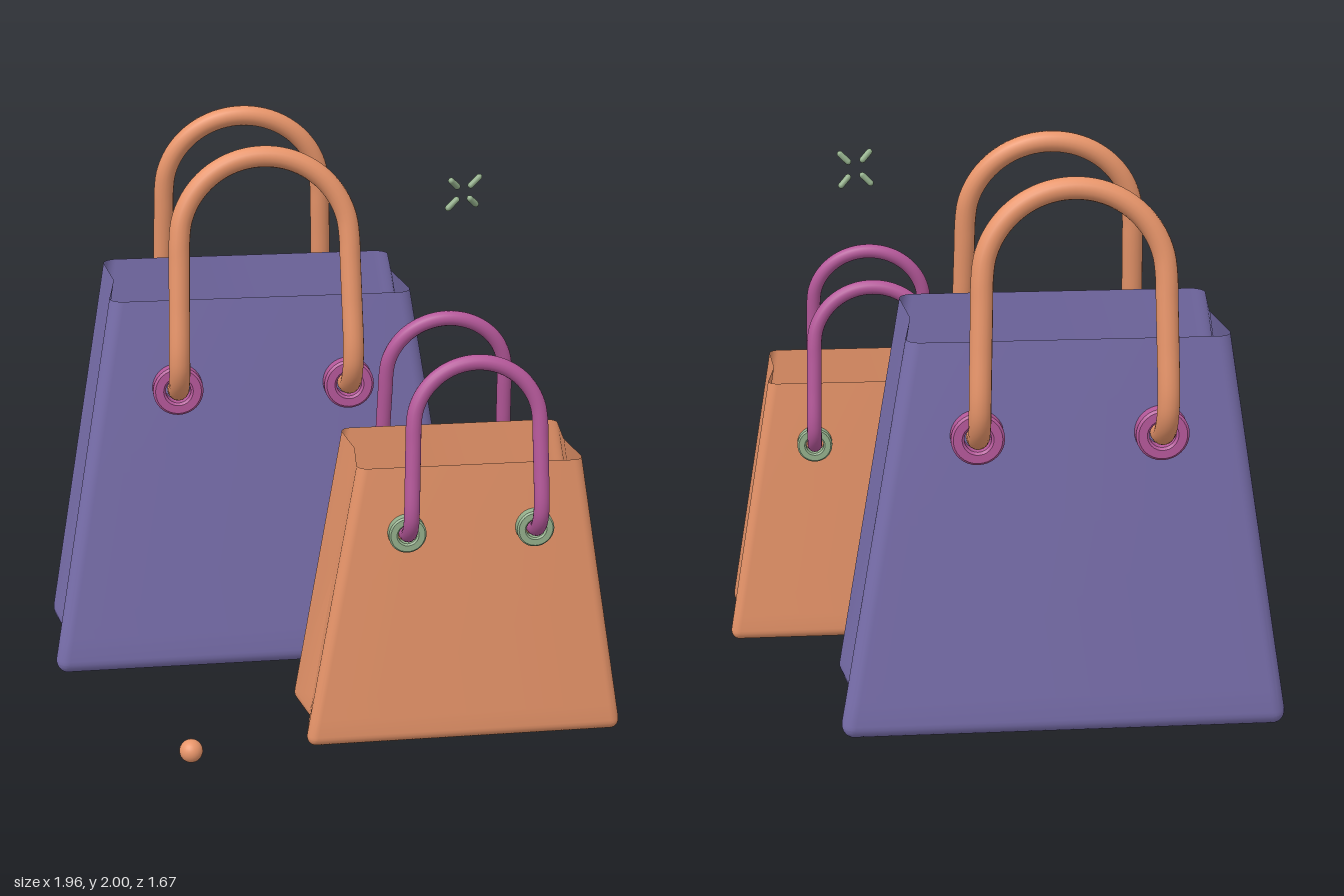
import * as THREE from 'three';
import { toCreasedNormals } from 'three/addons/utils/BufferGeometryUtils.js';

const PURPLE = 0x7a70ae, ORANGE = 0xe8956a, PINK = 0xb5589a, GREEN = 0x94b08c;

const material = (color, side = THREE.FrontSide) => new THREE.MeshStandardMaterial({ color, side });

function add(parent, name, geometry, mat) {
  const mesh = new THREE.Mesh(geometry, mat);
  mesh.name = name;
  parent.add(mesh);
  return mesh;
}

// Horizontal outline of the bag: rounded corners and a V fold in both sides
function outline(w, d, r, fold) {
  const half = [];
  const corner = (sign, from) => {
    for (let i = 0; i <= 8; i++) {
      const a = from + (i / 8) * Math.PI / 2;
      half.push([w - r + r * Math.cos(a), sign * (d - r) + r * Math.sin(a)]);
    }
  };
  corner(-1, -Math.PI / 2);
  half.push([w - fold, 0]);
  corner(1, 0);
  return [...half, ...half.map(([x, z]) => [-x, -z])];
}

// Open-topped tapering shell with a rounded bottom edge
function bagGeometry() {
  const height = 1.44, depth = 0.3, edge = 0.06;
  const levels = [];
  for (let i = 0; i <= 6; i++) {
    const a = (i / 6) * Math.PI / 2;
    levels.push([edge * (1 - Math.cos(a)), edge * (1 - Math.sin(a))]);
  }
  levels.push([0.15, 0], [0.8, 0], [height, 0]);

  const positions = [0, 0, 0], index = [];
  let n = 0;
  levels.forEach(([y, inset]) => {
    const t = y / height;
    const ring = outline(0.787 - 0.247 * t - inset, depth - inset, Math.max(0.05 - inset, 0.01), 0.047 - 0.02 * t);
    n = ring.length;
    ring.forEach(([x, z]) => positions.push(x, y, z));
  });
  for (let i = 0; i < n; i++) {
    const j = (i + 1) % n;
    index.push(0, 1 + i, 1 + j);
    for (let k = 0; k < levels.length - 1; k++) {
      const a = 1 + k * n + i, b = 1 + k * n + j;
      index.push(a, a + n, b, b, a + n, b + n);
    }
  }
  const geometry = new THREE.BufferGeometry();
  geometry.setAttribute('position', new THREE.Float32BufferAttribute(positions, 3));
  geometry.setIndex(index);
  return toCreasedNormals(geometry, 0.3);
}

// Handle path: out of the wall, up the leaning leg and over the arch
function handleCurve() {
  const leg = [
    [0.308, 1.11, 0.175], [0.308, 1.11, 0.25], [0.308, 1.112, 0.32], [0.308, 1.13, 0.37],
    [0.308, 1.165, 0.411], [0.308, 1.215, 0.438], [0.308, 1.28, 0.446], [0.304, 1.45, 0.428],
    [0.3, 1.6, 0.41],
  ].map(p => new THREE.Vector3(...p));
  const arch = [];
  for (let i = 0; i <= 12; i++) {
    const a = (i / 12) * Math.PI;
    arch.push(new THREE.Vector3(0.298 * Math.cos(a), 1.675 + 0.288 * Math.sin(a), 0.402 - 0.035 * Math.sin(a)));
  }
  const otherLeg = leg.map(p => new THREE.Vector3(-p.x, p.y, p.z)).reverse();
  return new THREE.CatmullRomCurve3([...leg, ...arch, ...otherLeg]);
}

// Eyelet: a thick ring with softened edges
function eyeletGeometry() {
  const inner = 0.045, outer = 0.09, h = 0.042, b = 0.008;
  const profile = [
    [inner, -h + b], [inner + b, -h], [outer - b, -h], [outer, -h + b],
    [outer, h - b], [outer - b, h], [inner + b, h], [inner, h - b], [inner, -h + b],
  ].map(p => new THREE.Vector2(...p));
  return toCreasedNormals(new THREE.LatheGeometry(profile, 32).rotateX(Math.PI / 2), 0.5);
}

function createBag(name, bodyColor, handleColor, eyeletColor) {
  const bag = new THREE.Group();
  bag.name = name;
  add(bag, 'bagBody', bagGeometry(), material(bodyColor, THREE.DoubleSide));

  const tube = new THREE.TubeGeometry(handleCurve(), 120, 0.037, 16);
  const cap = new THREE.CircleGeometry(0.037, 16).rotateY(Math.PI);
  const eyelet = eyeletGeometry();
  const handleMat = material(handleColor), eyeletMat = material(eyeletColor);

  // Same handle assembly on front and back
  for (const [side, angle] of [['front', 0], ['back', Math.PI]]) {
    const assembly = new THREE.Group();
    assembly.name = side + 'HandleAssembly';
    assembly.rotation.y = angle;
    add(assembly, 'handle', tube, handleMat);
    for (const s of [-1, 1]) {
      add(assembly, 'handleEnd', cap, handleMat).position.set(s * 0.308, 1.11, 0.175);
      add(assembly, 'eyelet', eyelet, eyeletMat).position.set(s * 0.308, 1.115, 0.307);
    }
    bag.add(assembly);
  }
  return bag;
}

// Four short rods radiating in a tilted plane
function createSparkle() {
  const sparkle = new THREE.Group();
  sparkle.name = 'sparkle';
  const rod = new THREE.CapsuleGeometry(0.011, 0.04, 6, 12);
  const mat = material(GREEN);
  for (const sx of [-1, 1]) for (const sy of [-1, 1]) {
    const dir = new THREE.Vector3(sx, sy, 0.38 * (sy - sx));
    const mesh = add(sparkle, 'sparkleRod', rod, mat);
    mesh.position.copy(dir).multiplyScalar(0.039);
    mesh.quaternion.setFromUnitVectors(new THREE.Vector3(0, 1, 0), dir.normalize());
  }
  sparkle.position.set(0.477, 1.847, 0.148);
  return sparkle;
}

export function createModel() {
  const model = new THREE.Group();
  model.name = 'shoppingBags';

  const large = createBag('largeBag', PURPLE, ORANGE, PINK);
  large.position.set(-0.203, 0, -0.36);

  const small = createBag('smallBag', ORANGE, PINK, GREEN);
  small.scale.setScalar(0.714);
  small.position.set(0.425, 0.003, 0.434);

  model.add(large, small, createSparkle());
  add(model, 'ball', new THREE.SphereGeometry(0.04, 24, 16), material(ORANGE)).position.set(-0.547, 0.1, 0.79);
  return model;
}
